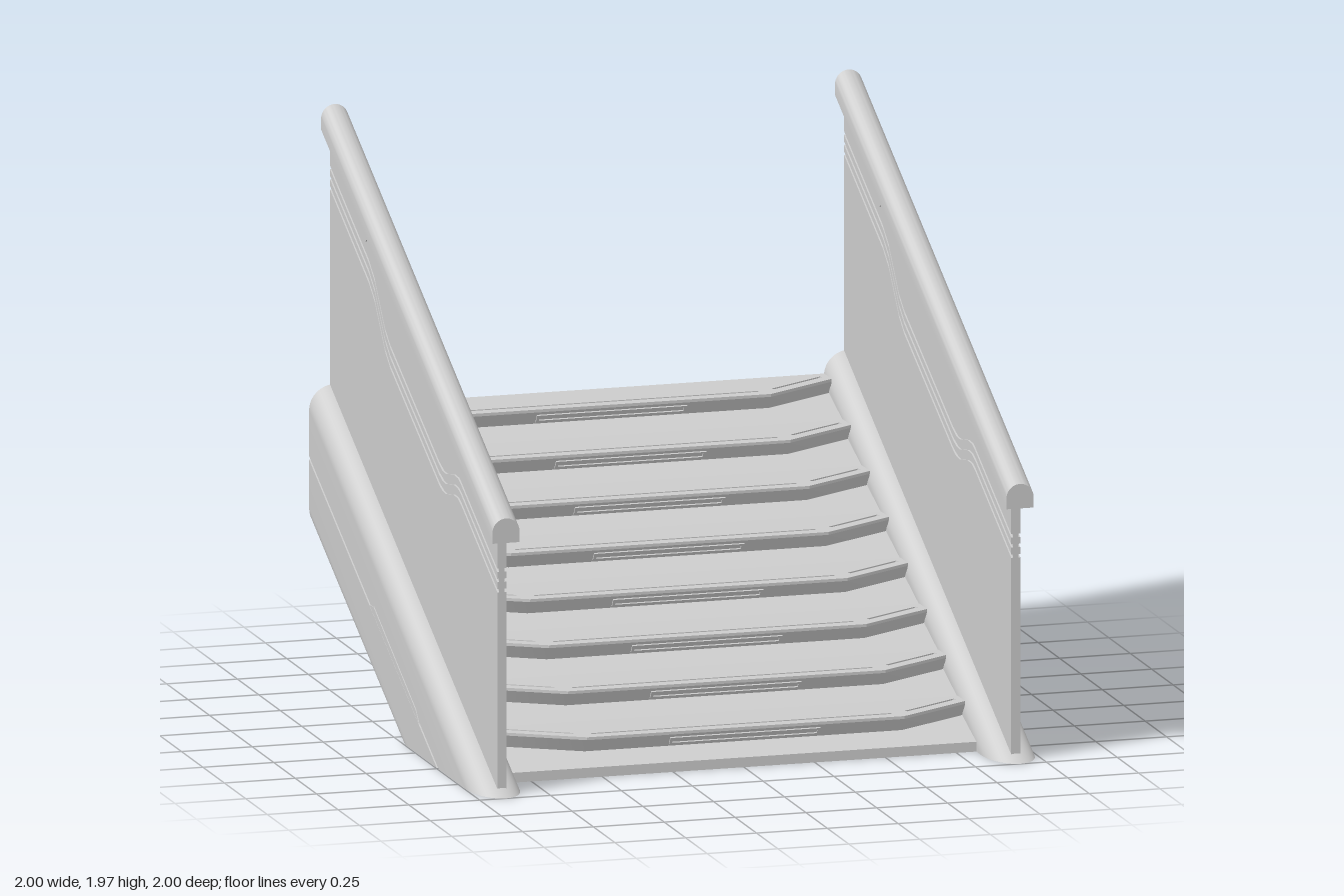
import * as THREE from 'three';
import { toCreasedNormals } from 'three/addons/utils/BufferGeometryUtils.js';

const material = new THREE.MeshStandardMaterial({ color: 0xcccccc });
const STEPS = 8, RISE = 0.111, RUN = 0.2222;
const treadTop = (k) => 0.145 + RISE * k;
const nosing = (k) => 0.8 - RUN * k;
const rake = (z) => (1 - z) / 2; // height of the sloping pitch line

function polygon(points) {
  return new THREE.Shape(points.map(([a, b]) => new THREE.Vector2(a, b)));
}

function extrude(shape, depth) {
  return new THREE.ExtrudeGeometry(shape, { depth, bevelEnabled: false, curveSegments: 12 });
}

// Extrudes a [z, y] side outline across x, from x0 to x1
function sideExtrude(points, x0, x1) {
  const shape = polygon(points.map(([z, y]) => [-z, y]));
  return extrude(shape, x1 - x0).rotateY(Math.PI / 2).translate(x0, 0, 0);
}

// Moves every vertex by a rule, then rebuilds normals with sharp edges kept
function deform(geometry, rule) {
  const p = geometry.attributes.position, v = new THREE.Vector3();
  for (let i = 0; i < p.count; i++) {
    rule(v.fromBufferAttribute(p, i));
    p.setXYZ(i, v.x, v.y, v.z);
  }
  return toCreasedNormals(geometry, 0.6);
}

function add(parent, name, geometry) {
  const mesh = new THREE.Mesh(geometry, material);
  mesh.name = name;
  parent.add(mesh);
  return mesh;
}

// Solid stair body with sloping risers and a seam across the back
function stairBody() {
  const outline = [[0.16, 0], [0.778, 0]];
  for (let k = 0; k < STEPS; k++) {
    const n = nosing(k), top = treadTop(k);
    outline.push([n - 0.022, k ? top - RISE - 0.003 : 0.034]);
    outline.push([n - 0.2, top - 0.05], [n - 0.2, top - 0.003]);
  }
  outline.push([-1, treadTop(STEPS - 1) - 0.003], [-1, 0.756], [-0.99, 0.756],
    [-0.99, 0.744], [-1, 0.744], [-1, 0.58]);
  return sideExtrude(outline, -0.825, 0.825);
}

// Tread with swept-back ends, undercut nose and grooved top
function tread() {
  const group = new THREE.Group();
  const plan = [[-0.56, 0], [0.56, 0], [0.822, 0.16], [0.822, 0.246], [-0.822, 0.246], [-0.822, 0.16]];
  const lower = deform(extrude(polygon(plan), 0.045), (v) => {
    if (v.z < 0.001 && v.y < 0.2) v.y += 0.03;
  });
  add(group, 'treadNose', lower.rotateX(-Math.PI / 2).translate(0, -0.055, 0));

  const cap = polygon(plan);
  const slots = [[[-0.53, 0.044], [0.53, 0.044], [0.53, 0.057], [-0.53, 0.057]]];
  for (const s of [-1, 1]) {
    slots.push([[s * 0.59, 0.066], [s * 0.8, 0.194], [s * 0.794, 0.205], [s * 0.584, 0.077]]);
  }
  slots.forEach((slot) => cap.holes.push(polygon(slot)));
  add(group, 'treadTop', extrude(cap, 0.01).rotateX(-Math.PI / 2).translate(0, -0.01, 0));

  // Long narrow frame on the undercut nose
  const frame = polygon([[-0.265, -0.016], [0.265, -0.016], [0.265, 0.016], [-0.265, 0.016]]);
  frame.holes.push(polygon([[-0.255, -0.008], [0.255, -0.008], [0.255, 0.008], [-0.255, 0.008]]));
  const mesh = add(group, 'noseFrame', extrude(frame, 0.005));
  mesh.rotation.x = Math.atan2(0.03, 0.045);
  mesh.position.set(0, -0.033, -0.0155);
  return group;
}

// Rounded stringer: section at the back, swept down the rake and cut flat by the floor
function stringer() {
  const s = new THREE.Shape();
  s.moveTo(0.82, 0.51);
  s.lineTo(0.93, 0.51);
  s.quadraticCurveTo(0.997, 0.51, 0.997, 0.58);
  for (const [x, y] of [[0.997, 0.744], [0.987, 0.744], [0.987, 0.756], [0.997, 0.756], [0.997, 0.915]]) s.lineTo(x, y);
  s.absellipse(0.9085, 0.915, 0.0885, 0.085, 0, Math.PI, false);
  s.closePath();
  return deform(extrude(s, 1), (v) => {
    const t = v.z, y = v.y;
    v.set(v.x, y * (1 - t), -1 + 2 * y * t);
  });
}

// Rounded handrail following the rake with upright ends
function handrail() {
  const s = new THREE.Shape();
  s.moveTo(-0.048, 0);
  s.lineTo(0.048, 0);
  s.lineTo(0.048, 0.037);
  s.absarc(0, 0.037, 0.048, 0, Math.PI, false);
  s.closePath();
  return deform(extrude(s, 2), (v) => {
    v.z -= 1;
    v.set(v.x + 0.907, v.y + 0.885 + rake(v.z), v.z);
  });
}

// Balustrade panel: a core plus raised bands, leaving three stepped grooves
function balustrade() {
  const group = new THREE.Group();
  const wave = [[0.95, 0.78], [0.53, 0.99], [0.49, 1.005], [0.44, 1.007], [0.35, 0.99], [0.31, 0.992],
    [0.27, 1.006], [-0.3, 1.285], [-0.36, 1.33], [-0.48, 1.475], [-0.55, 1.526], [-1, 1.751]];
  const shifted = (d) => wave.map(([z, y]) => [z, y + d]);
  const straight = (d) => [[0.95, rake(0.95) + d], [-1, rake(-1) + d]];
  const band = (low, high, half) => sideExtrude([...low, ...high.reverse()], 0.907 - half, 0.907 + half);

  add(group, 'panelCore', band(straight(-0.02), straight(0.9), 0.009));
  const g = 0.006;
  add(group, 'lowerPanel', band(straight(-0.02), shifted(-0.07 - g), 0.016));
  add(group, 'lowerBand', band(shifted(-0.07 + g), shifted(-0.035 - g), 0.016));
  add(group, 'upperBand', band(shifted(-0.035 + g), shifted(-g), 0.016));
  add(group, 'upperPanel', band(shifted(g), straight(0.9), 0.016));
  return group;
}

function side() {
  const group = new THREE.Group();
  add(group, 'stringer', stringer());
  add(group, 'handrail', handrail());
  const panel = balustrade();
  panel.name = 'balustrade';
  group.add(panel);
  // Tab hanging below the handrail
  add(group, 'railTab', sideExtrude([[-0.46, 1.63], [-0.495, 1.607], [-0.7, 1.71], [-0.73, 1.755], [-0.73, 1.79], [-0.46, 1.65]], 0.863, 0.951));
  // Long cover plate on the outer face of the stringer
  add(group, 'coverPlate', sideExtrude([[0.29, 0.108], [0.25, 0.15], [-0.24, 0.4], [-0.285, 0.395]].reverse(), 0.985, 1));
  return group;
}

export function createModel() {
  const model = new THREE.Group();
  model.name = 'staircase';
  add(model, 'stairBody', stairBody());
  for (let k = 0; k < STEPS; k++) {
    const step = tread();
    step.name = 'tread' + (k + 1);
    step.position.set(0, treadTop(k), nosing(k));
    model.add(step);
  }
  for (const s of [1, -1]) {
    const half = side();
    half.name = s > 0 ? 'leftSide' : 'rightSide';
    half.scale.x = s;
    model.add(half);
  }
  return model;
}
